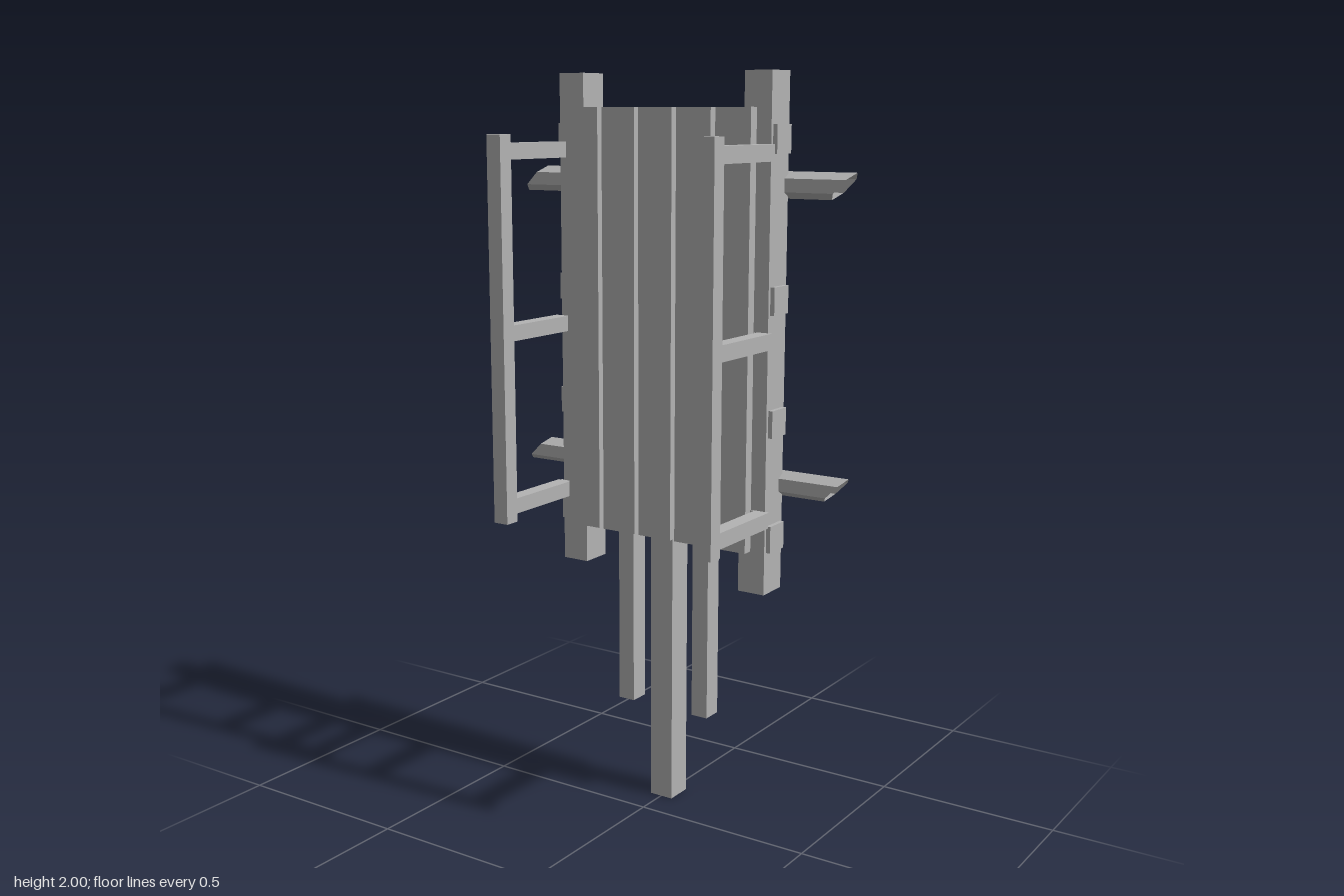
import * as THREE from 'three';

export function createModel() {
  const group = new THREE.Group();
  const wood = new THREE.MeshStandardMaterial({ color: 0xb3b3b3, flatShading: true, side: THREE.DoubleSide });
  wood.name = 'greyWood';

  const add = (name, geometry) => {
    const mesh = new THREE.Mesh(geometry, wood);
    mesh.name = name;
    group.add(mesh);
  };
  // Box given by its extents along each axis
  const beam = (name, [x0, x1], [y0, y1], [z0, z1]) => {
    const g = new THREE.BoxGeometry(x1 - x0, y1 - y0, z1 - z0);
    g.translate((x0 + x1) / 2, (y0 + y1) / 2, (z0 + z1) / 2);
    add(name, g);
  };
  // Same beam on both sides
  const pair = (name, [x0, x1], y, z) => {
    beam(name + 'Left', [x0, x1], y, z);
    beam(name + 'Right', [-x1, -x0], y, z);
  };

  // Long frame rails
  pair('frameRail', [0.248, 0.326], [0.655, 2], [-0.172, -0.082]);

  // Crossbars, their ends passing through the rails
  for (const y of [0.805, 1.112, 1.43, 1.833])
    beam('crossbar', [-0.338, 0.338], [y - 0.036, y + 0.036], [-0.163, -0.091]);

  // Deck planks
  for (let i = -2; i <= 2; i++) {
    const x = i * 0.1165;
    beam('deckPlank', [x - 0.0515, x + 0.0515], [0.769, 1.911], [-0.081, -0.052]);
  }

  // Side railings: a top bar on three posts with mounting plates
  pair('railingBar', [0.297, 0.341], [0.819, 1.843], [0.167, 0.211]);
  for (const y of [0.862, 1.33, 1.8]) {
    pair('railingPost', [0.298, 0.34], [y - 0.021, y + 0.021], [-0.076, 0.168]);
    pair('postPlate', [0.24, 0.335], [y - 0.02, y + 0.02], [-0.085, -0.077]);
  }

  // Tongue and the two shorter shafts beside it
  beam('tongue', [-0.035, 0.035], [0, 0.85], [-0.166, -0.09]);
  pair('shaft', [0.097, 0.146], [0.265, 0.8], [-0.151, -0.095]);

  // Open six-sided axles with slanted ends
  for (const y of [0.94, 1.7175]) {
    const g = new THREE.CylinderGeometry(0.0345, 0.0345, 0.96, 6, 1, true, Math.PI / 2);
    g.rotateZ(Math.PI / 2);
    const p = g.attributes.position;
    for (let i = 0; i < p.count; i++) p.setX(i, p.getX(i) + p.getY(i));
    g.translate(0, y, -0.183);
    add('axle', g);
  }
  return group;
}
